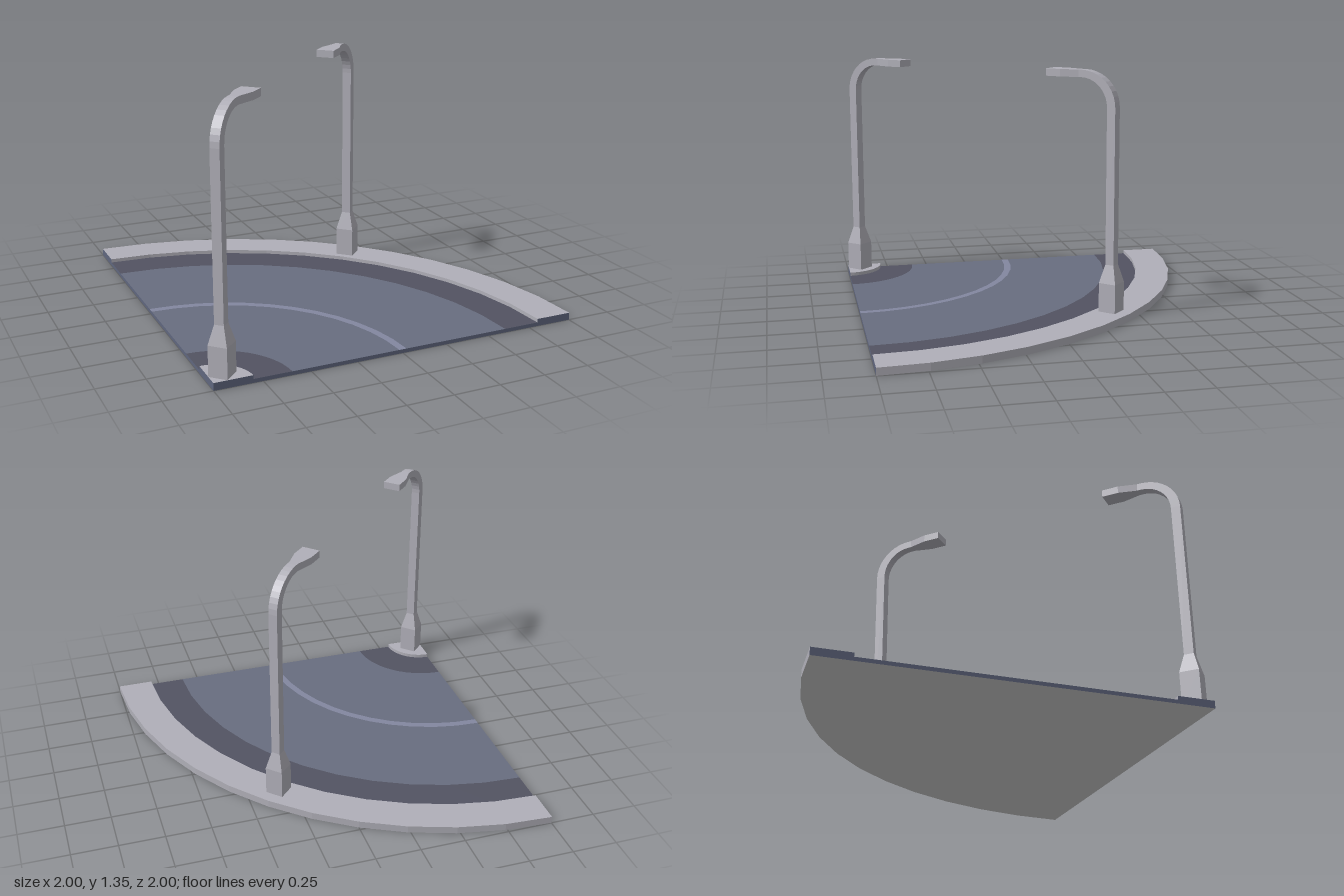
import * as THREE from 'three';

const mat = (color) => new THREE.MeshStandardMaterial({ color, flatShading: true, side: THREE.DoubleSide });
const KERB = mat(0xb0afb8), GUTTER = mat(0x525362), ROAD = mat(0x686d80), LINE = mat(0x8387a0), EDGE = mat(0x5f667e);
const GREY = mat(0xcccccc);

function add(parent, name, geometry, material) {
  const mesh = new THREE.Mesh(geometry, material);
  mesh.name = name;
  parent.add(mesh);
  return mesh;
}

// Quarter turn of a (radius, height) profile around the corner of the tile
function quarter(profile) {
  const points = profile.map(([r, y]) => new THREE.Vector2(r, y));
  return new THREE.LatheGeometry(points, 12, Math.PI / 2, Math.PI / 2);
}

// Lamp post: a four-sided section swept up the pole, round the bend and along the arm
function lampGeometry() {
  // each station: front x, front y, back x, back y, half width
  const stations = [
    [0.05, 0.02, -0.05, 0.02, 0.05],
    [0.05, 0.2, -0.05, 0.2, 0.05],
    [0.025, 0.3, -0.025, 0.3, 0.025],
  ];
  const n = 10;
  for (let i = 0; i <= n; i++) {
    const a = (i / n) * Math.PI / 2, c = Math.cos(a), s = Math.sin(a);
    stations.push([0.18 - 0.155 * c, 1.15 + 0.155 * s, 0.18 - 0.205 * c, 1.15 + 0.195 * s, 0.025]);
  }
  for (const [x, w] of [[0.2, 0.025], [0.3, 0.05], [0.39, 0.05]]) stations.push([x, 1.305, x, 1.345, w]);

  const positions = [], index = [];
  stations.forEach(([fx, fy, bx, by, w], s) => {
    positions.push(fx, fy, w, fx, fy, -w, bx, by, -w, bx, by, w);
    if (s === 0) return;
    for (let k = 0; k < 4; k++) {
      const a = (s - 1) * 4 + k, b = (s - 1) * 4 + (k + 1) % 4;
      index.push(a, b, b + 4, a, b + 4, a + 4);
    }
  });
  const e = (stations.length - 1) * 4;
  index.push(0, 2, 1, 0, 3, 2, e, e + 1, e + 2, e, e + 2, e + 3);
  const g = new THREE.BufferGeometry();
  g.setAttribute('position', new THREE.Float32BufferAttribute(positions, 3));
  g.setIndex(index);
  g.computeVertexNormals();
  return g;
}

export function createModel() {
  const model = new THREE.Group();
  model.name = 'roadCorner';

  // Everything is placed around the corner at the front right
  const tile = new THREE.Group();
  tile.name = 'tile';
  tile.position.set(-1, 0, 1);
  model.add(tile);

  // Raised pavements
  add(tile, 'outerPavement', quarter([[2, 0], [2, 0.04], [1.8, 0.04], [1.8, 0.02]]), KERB);
  add(tile, 'innerPavement', quarter([[0.2, 0.02], [0.2, 0.04], [0, 0.04]]), KERB);

  // Flat road bands, from outside in
  const bands = [
    ['outerGutter', 1.8, 1.6, GUTTER],
    ['outerLane', 1.6, 1.02, ROAD],
    ['centreLine', 1.02, 0.98, LINE],
    ['innerLane', 0.98, 0.4, ROAD],
    ['innerGutter', 0.4, 0.2, GUTTER],
  ];
  for (const [name, r1, r2, m] of bands) add(tile, name, quarter([[r1, 0.02], [r2, 0.02]]), m);
  add(tile, 'underside', quarter([[0, 0], [2, 0]]), GREY);

  // Straight cut ends, stepped like the road section
  const section = new THREE.Shape([
    [0, 0], [2, 0], [2, 0.04], [1.8, 0.04], [1.8, 0.02], [0.2, 0.02], [0.2, 0.04], [0, 0.04],
  ].map(([x, y]) => new THREE.Vector2(x, y)));
  add(tile, 'frontEnd', new THREE.ShapeGeometry(section), EDGE);
  add(tile, 'sideEnd', new THREE.ShapeGeometry(section), EDGE).rotation.y = Math.PI / 2;

  // Two lamps on the diagonal, facing each other
  const lamps = new THREE.Group();
  lamps.name = 'lamps';
  lamps.rotation.y = Math.PI / 4;
  tile.add(lamps);
  const lamp = lampGeometry();
  add(lamps, 'innerLamp', lamp, KERB).position.x = 0.1;
  const outer = add(lamps, 'outerLamp', lamp, KERB);
  outer.position.x = 1.885;
  outer.rotation.y = Math.PI;

  return model;
}
